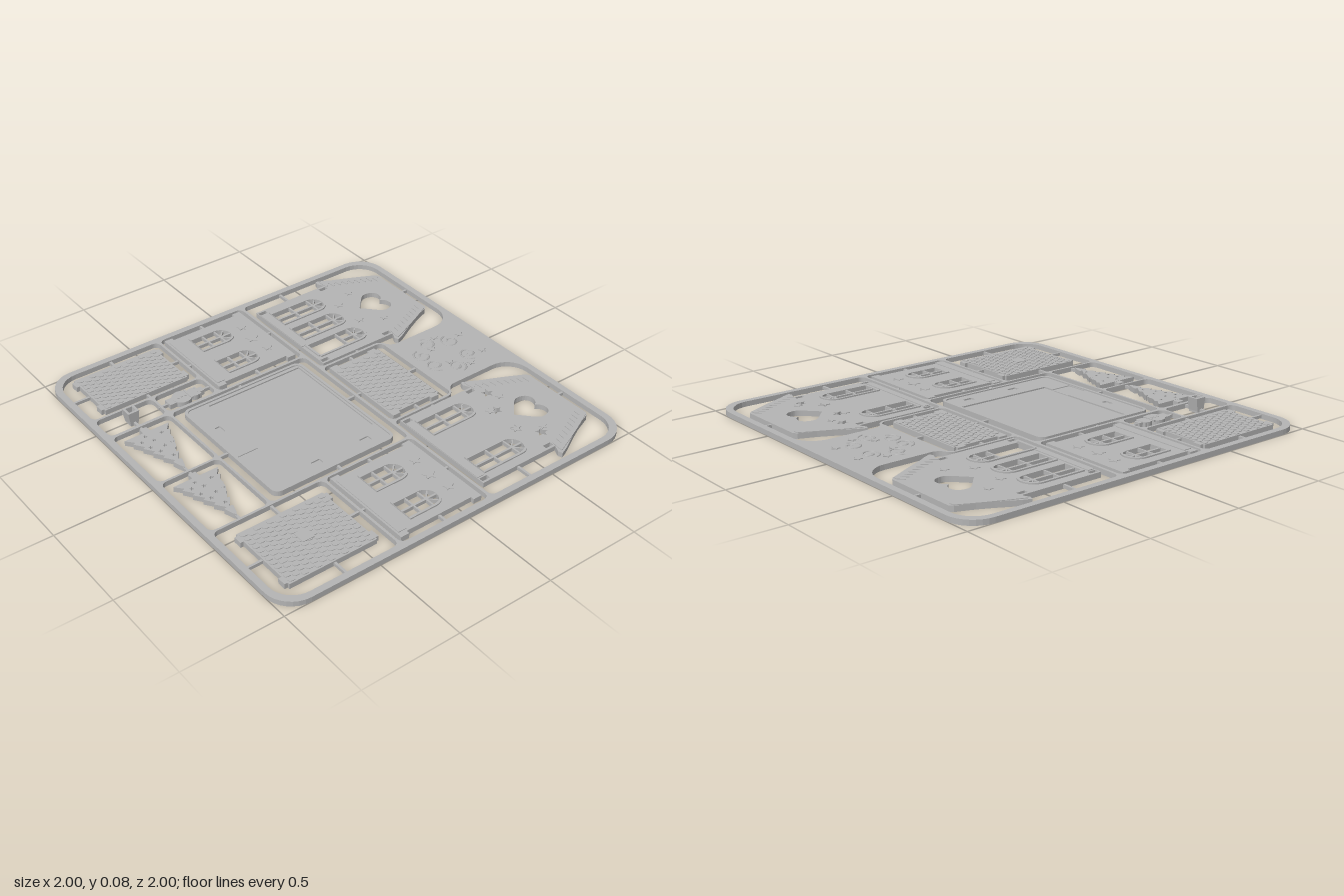
import * as THREE from 'three';
import { mergeGeometries } from 'three/addons/utils/BufferGeometryUtils.js';

const grey = new THREE.MeshStandardMaterial({ color: 0xb4b4b4 });
grey.name = 'grey plastic';
const TOP = 0.027, RELIEF = 0.0305;

// Plan shapes are drawn in (x, z) and extruded from y0 up to y1
function slab(shape, y0 = 0, y1 = TOP, segs = 8) {
  return new THREE.ExtrudeGeometry(shape, { depth: y1 - y0, bevelEnabled: false, curveSegments: segs })
    .rotateX(Math.PI / 2).translate(0, y1, 0);
}
function add(parent, name, geos) {
  const list = [].concat(geos).map(g => (g.index ? g.toNonIndexed() : g));
  const mesh = new THREE.Mesh(mergeGeometries(list), grey);
  mesh.name = name;
  parent.add(mesh);
}
const poly = pts => new THREE.Shape(pts.map(p => new THREE.Vector2(p[0], p[1])));
const rect = (x0, x1, z0, z1) => poly([[x0, z0], [x1, z0], [x1, z1], [x0, z1]]);
const box = (x0, x1, z0, z1, y0, y1) => slab(rect(x0, x1, z0, z1), y0, y1);

// Polygon with a rounding radius per corner: [x, z, r]
function rounded(pts) {
  const s = new THREE.Shape(), n = pts.length;
  pts.forEach(([x, z, r], i) => {
    const p = new THREE.Vector2(x, z);
    const toward = q => new THREE.Vector2(q[0] - x, q[1] - z).setLength(r).add(p);
    const a = toward(pts[(i + n - 1) % n]), b = toward(pts[(i + 1) % n]);
    if (i) s.lineTo(a.x, a.y); else s.moveTo(a.x, a.y);
    const k = 0.55;
    s.bezierCurveTo(a.x + (x - a.x) * k, a.y + (z - a.y) * k, b.x + (x - b.x) * k, b.y + (z - b.y) * k, b.x, b.y);
  });
  s.closePath();
  return s;
}
const rrect = (x0, x1, z0, z1, a = 0.03, b = a, c = a, d = a) =>
  rounded([[x0, z0, a], [x1, z0, b], [x1, z1, c], [x0, z1, d]]);
function arch(cx, z0, z1, hw) {
  const s = new THREE.Shape();
  s.moveTo(cx - hw, z1).lineTo(cx + hw, z1).lineTo(cx + hw, z0 + hw);
  s.absarc(cx, z0 + hw, hw, 0, Math.PI, true);
  s.closePath();
  return s;
}
function star(cx, cz, r, turn = 0) {
  return poly(Array.from({ length: 10 }, (_, i) => {
    const a = turn + i * Math.PI / 5 - Math.PI / 2, q = i % 2 ? r * 0.5 : r;
    return [cx + q * Math.cos(a), cz + q * Math.sin(a)];
  }));
}
function disc(cx, cz, r) {
  const s = new THREE.Shape();
  s.absarc(cx, cz, r, 0, Math.PI * 2);
  return s;
}
function heart(cx, top, bottom, w) {
  const s = new THREE.Shape(), h = bottom - top, d = top + h * 0.18;
  s.moveTo(cx, d);
  for (const [k, back] of [[1, false], [-1, true]]) {
    const mid = [cx + k * w, top + h * 0.36];
    if (!back) {
      s.bezierCurveTo(cx + 0.2 * w, top - h * 0.06, cx + w, top - h * 0.1, ...mid);
      s.bezierCurveTo(cx + w, top + h * 0.55, cx + w * 0.5, top + h * 0.7, cx, bottom);
    } else {
      s.bezierCurveTo(cx - w * 0.5, top + h * 0.7, cx - w, top + h * 0.55, ...mid);
      s.bezierCurveTo(cx - w, top - h * 0.1, cx - 0.2 * w, top - h * 0.06, cx, d);
    }
  }
  return s;
}
// Straight bar between two plan points
function bar(x0, z0, x1, z1, w, y0, y1) {
  const l = Math.hypot(x1 - x0, z1 - z0);
  return new THREE.BoxGeometry(l, y1 - y0, w).rotateY(-Math.atan2(z1 - z0, x1 - x0))
    .translate((x0 + x1) / 2, (y0 + y1) / 2, (z0 + z1) / 2);
}
// Arched window: raised surround, glazing bars and fan
function windowParts(cx, z0, z1, sill, door) {
  const hw = 0.058, c = z0 + hw, end = door ? sill : z1, b = [0.006, 0.024];
  const trim = arch(cx, z0 - 0.012, z1, hw + 0.012);
  trim.holes.push(arch(cx, z0, z1 - 0.001, hw));
  const out = [slab(trim, TOP - 0.002, 0.034), bar(cx, z0, cx, end, 0.011, ...b)];
  for (const z of [c, sill]) out.push(bar(cx - hw, z, cx + hw, z, 0.009, ...b));
  for (const k of [-1, 1]) out.push(bar(cx, c, cx + k * hw * 0.71, c - hw * 0.71, 0.007, ...b));
  if (door) out.push(box(cx - hw, cx + hw, z1 - 0.004, z1 + 0.008, 0.02, 0.034));
  return out;
}
// Staggered rows of round-ended shingles
function shingles(x0, x1, z0, z1, nx, nz) {
  const out = [], w = (x1 - x0) / nx, h = (z1 - z0) / nz;
  for (let j = 0; j < nz; j++) for (let i = 0; i < nx - (j % 2); i++) {
    const cx = x0 + w * (i + 0.5 + (j % 2) / 2), z = z0 + j * h;
    const s = new THREE.Shape();
    s.moveTo(cx - w * 0.42, z + h * 0.1).lineTo(cx + w * 0.42, z + h * 0.1).lineTo(cx + w * 0.42, z + h * 0.5);
    s.quadraticCurveTo(cx + w * 0.4, z + h * 0.92, cx, z + h * 0.92);
    s.quadraticCurveTo(cx - w * 0.4, z + h * 0.92, cx - w * 0.42, z + h * 0.5);
    out.push(slab(s, TOP - 0.001, RELIEF, 3));
  }
  return out;
}
// Panel with side tabs at both ends
const tabbed = (cx, hw, tw, z0, z1, gap, t) => poly([
  [-hw, z0], [hw, z0], [hw, z0 + gap], [tw, z0 + gap], [tw, z0 + gap + t], [hw, z0 + gap + t],
  [hw, z1 - t], [tw, z1 - t], [tw, z1], [-tw, z1], [-tw, z1 - t], [-hw, z1 - t],
  [-hw, z0 + gap + t], [-tw, z0 + gap + t], [-tw, z0 + gap], [-hw, z0 + gap]].map(([x, z]) => [x + cx, z]));

function house(root, name, cx, windows, door, stars) {
  const g = new THREE.Group();
  g.name = name;
  const half = [[0.195, -0.93], [0.212, -0.915], [0.245, -0.83], [0.28, -0.76], [0.335, -0.66], [0.352, -0.62], [0.33, -0.612], [0.292, -0.63], [0.292, -0.185]];
  const wall = poly([...half.map(([x, z]) => [cx + x, z]), ...half.slice().reverse().map(([x, z]) => [cx - x, z])]);
  wall.holes.push(heart(cx, -0.81, -0.645, 0.092));
  for (const k of [-1, 1]) for (const z of [-0.63, -0.235])
    wall.holes.push(rect(cx + k * 0.269 - 0.011, cx + k * 0.269 + 0.011, z, z + 0.045));
  const parts = [];
  for (const x of windows) {
    wall.holes.push(arch(cx + x, -0.525, -0.235, 0.058));
    parts.push(...windowParts(cx + x, -0.525, -0.235, -0.355));
  }
  if (door) {
    wall.holes.push(arch(cx + door, -0.525, -0.21, 0.058));
    parts.push(...windowParts(cx + door, -0.525, -0.21, -0.395, true));
  }
  for (const [x, z, t] of stars) wall.holes.push(star(x, z, 0.031, t));
  add(g, 'houseWall', slab(wall, 0, TOP, 12));
  add(g, 'houseWindows', parts);
  // Icicle trim along the roof slopes, plus star reliefs
  const trim = [];
  for (const k of [-1, 1]) {
    const outer = [], inner = [];
    for (let i = 0; i <= 18; i++) {
      const f = i / 18, x = 0.212 + 0.13 * f, z = -0.915 + 0.285 * f - 0.01 * Math.sin(f * Math.PI);
      outer.push([cx + k * (x - 0.006), z]);
      inner.push([cx + k * (x - (i % 2 ? 0.065 : 0.03)), z + (i % 2 ? 0.012 : 0)]);
    }
    trim.push(slab(poly([...outer, ...inner.reverse()]), TOP - 0.001, RELIEF));
    trim.push(slab(star(cx + k * 0.088, -0.575, 0.026), TOP - 0.001, RELIEF), slab(star(cx + k * 0.15, -0.69, 0.022), TOP - 0.001, RELIEF));
  }
  trim.push(box(cx - 0.25, cx + (door ? 0.11 : 0.25), -0.222, -0.187, TOP - 0.001, RELIEF));
  add(g, 'houseTrim', trim);
  root.add(g);
}

export function createModel() {
  const root = new THREE.Group();
  root.name = 'flatHouseKit';

  // Carrier frame with an opening for every part
  const frame = rrect(-1, 1, -1, 1, 0.14);
  for (const k of [-1, 1]) frame.holes.push(rounded([[k * 0.967, -0.967, 0.12], [k * 0.22, -0.967, 0.12], [k * 0.22, -0.56, 0.03], [k * 0.285, -0.525, 0.03], [k * 0.285, -0.157, 0.03], [k * 0.967, -0.157, 0.03]]));
  [[-0.272, 0.272, -0.53, -0.157], [-0.967, -0.422, -0.142, 0.36], [0.427, 0.967, -0.142, 0.36], [-0.408, 0.415, -0.142, 0.645],
    [-0.57, -0.425, 0.373, 0.645], [-0.57, -0.425, 0.657, 0.967], [-0.408, 0, 0.657, 0.967], [0.012, 0.415, 0.657, 0.967]]
    .forEach(h => frame.holes.push(rrect(...h)));
  frame.holes.push(rrect(-0.967, -0.582, 0.373, 0.967, 0.03, 0.03, 0.03, 0.12), rrect(0.427, 0.967, 0.373, 0.967, 0.03, 0.03, 0.12, 0.03));
  add(root, 'frame', slab(frame, 0, 0.026));

  // Thin gates joining the parts to the frame
  const gates = [[-0.595, -0.98, -0.595, -0.92], [0.59, -0.98, 0.59, -0.92], [-0.98, -0.397, -0.87, -0.397], [-0.31, -0.393, -0.28, -0.393],
    [0.28, -0.393, 0.31, -0.393], [0.87, -0.397, 0.98, -0.397], [0, -0.54, 0, -0.47], [0, -0.19, 0, -0.15], [-0.28, -0.33, -0.23, -0.33], [0.23, -0.33, 0.28, -0.33],
    [-0.7, -0.15, -0.7, -0.11], [-0.7, 0.33, -0.7, 0.37], [0.69, -0.15, 0.69, -0.11], [0.69, 0.33, 0.69, 0.37],
    [-0.98, 0.11, -0.92, 0.11], [-0.48, 0.11, -0.41, 0.11], [0.42, 0.11, 0.47, 0.11], [0.91, 0.11, 0.98, 0.11],
    [-0.42, 0.25, -0.37, 0.25], [0.37, 0.25, 0.42, 0.25], [0, -0.15, 0, -0.09], [0, 0.59, 0, 0.65],
    [-0.77, 0.36, -0.77, 0.42], [-0.77, 0.87, -0.77, 0.98], [-0.98, 0.648, -0.91, 0.648], [-0.63, 0.648, -0.57, 0.648],
    [0.69, 0.36, 0.69, 0.43], [0.69, 0.88, 0.69, 0.98], [0.42, 0.655, 0.5, 0.655], [0.88, 0.655, 0.98, 0.655],
    [-0.492, 0.36, -0.492, 0.42], [-0.492, 0.6, -0.492, 0.66], [-0.58, 0.812, -0.515, 0.812], [-0.47, 0.812, -0.38, 0.812],
    [-0.05, 0.812, 0.04, 0.812], [0.37, 0.812, 0.42, 0.812]];
  add(root, 'gates', gates.map(g => bar(...g, 0.012, 0.004, 0.02)));

  // Low scroll ornament on the solid area of the frame
  const scrolls = [];
  for (const k of [-1, 1]) for (const [x, z, s] of [[0.07, -0.82, 1], [0.12, -0.7, -1], [0.05, -0.62, 1]]) {
    const pts = Array.from({ length: 14 }, (_, i) => {
      const r = 0.05 * (1 - i / 18), a = i * 0.6 * s;
      return new THREE.Vector3(k * (x + r * Math.cos(a)), 0.026, z + r * Math.sin(a));
    });
    scrolls.push(new THREE.TubeGeometry(new THREE.CatmullRomCurve3(pts), 28, 0.005, 5));
    scrolls.push(slab(star(k * (x + 0.02), z - 0.075, 0.022), 0.025, RELIEF));
  }
  add(root, 'scrollOrnament', scrolls);

  // Gable walls
  house(root, 'frontHouseWall', -0.593, [-0.175, 0], 0.172, []);
  house(root, 'backHouseWall', 0.59, [-0.175, 0.175], 0, [[0.383, -0.663, 0.1], [0.512, -0.603, -0.1], [0.675, -0.58, 0.1], [0.768, -0.655, 0.2]]);

  // Side walls with two windows each
  for (const [name, cx] of [['leftSideWall', 0.69], ['rightSideWall', -0.7]]) {
    const wall = tabbed(cx, 0.232, 0.25, -0.12, 0.34, 0, 0.045), parts = [];
    for (const k of [-1, 1]) {
      wall.holes.push(arch(cx + k * 0.116, 0.03, 0.235, 0.058));
      parts.push(...windowParts(cx + k * 0.116, 0.03, 0.235, 0.16));
      parts.push(slab(star(cx + k * 0.116, -0.045, 0.028), TOP - 0.001, RELIEF));
    }
    parts.push(slab(star(cx, -0.03, 0.035), TOP - 0.001, RELIEF), box(cx - 0.22, cx + 0.22, 0.285, 0.33, TOP - 0.001, RELIEF));
    add(root, name, slab(wall, 0, TOP, 12));
    add(root, name + 'Windows', parts);
  }

  // Roof panels
  add(root, 'topRoof', [slab(tabbed(-0.002, 0.235, 0.25, -0.48, -0.185, 0.012, 0.045)), ...shingles(-0.23, 0.226, -0.475, -0.19, 13, 8)]);
  for (const [name, x0, x1, z0, z1] of [['rightRoof', -0.922, -0.617, 0.417, 0.88], ['leftRoof', 0.497, 0.885, 0.427, 0.89]]) {
    const parts = [box(x0, x1, z0, z1, 0, TOP), ...shingles(x0 + 0.005, x1 - 0.005, z0 + 0.005, z1 - 0.005, Math.round((x1 - x0) * 30), 13)];
    for (const x of [x0 + 0.012, x1 - 0.057]) for (const z of [z0 - 0.016, z1 - 0.002]) parts.push(box(x, x + 0.045, z, z + 0.018, 0, TOP));
    if (name === 'leftRoof') parts.push(box(0.65, 0.714, 0.63, 0.694, TOP - 0.001, 0.033));
    add(root, name, parts);
  }

  // Base plate with recessed house footprint, path and slots
  const outer = rrect(-0.388, 0.38, -0.095, 0.597, 0.04);
  const rim = rrect(-0.388, 0.38, -0.095, 0.597, 0.04);
  rim.holes.push(rrect(-0.374, 0.366, -0.081, 0.583, 0.03));
  const ground = rrect(-0.374, 0.366, -0.081, 0.583, 0.03);
  ground.holes.push(poly([[-0.355, -0.07], [0.235, -0.07], [0.235, 0.465], [0.175, 0.465], [0.175, 0.578], [0.055, 0.578], [0.055, 0.465], [-0.355, 0.465]]),
    rrect(0.292, 0.323, 0.005, 0.058, 0.005), rrect(0.292, 0.323, 0.288, 0.34, 0.005), rrect(-0.19, -0.14, 0.512, 0.542, 0.005));
  add(root, 'basePlate', [slab(outer, 0, 0.015), slab(ground, 0.014, 0.022), slab(rim, 0.014, 0.028), box(0.055, 0.175, 0.465, 0.578, 0.014, 0.018)]);

  // Snowman
  const sx = -0.492;
  add(root, 'snowman', [slab(disc(sx, 0.53, 0.049), 0, TOP, 16), slab(disc(sx, 0.462, 0.034), 0, 0.0265, 16), box(sx - 0.017, sx + 0.017, 0.41, 0.45, 0, 0.026),
    box(sx - 0.032, sx + 0.032, 0.436, 0.446, 0, 0.0275), box(sx - 0.025, sx + 0.025, 0.56, 0.61, 0, 0.0255), box(sx - 0.037, sx + 0.037, 0.487, 0.498, 0.02, RELIEF),
    ...[0.51, 0.53, 0.55].map(z => slab(disc(sx, z, 0.006), 0.02, RELIEF, 5))]);

  // Chimney: hollow, flared towards the top
  const ring = rect(-0.523, -0.463, 0.782, 0.842);
  ring.holes.push(rect(-0.511, -0.475, 0.794, 0.83));
  const flue = slab(ring, 0.01, 0.075), p = flue.attributes.position;
  for (let i = 0; i < p.count; i++) if (p.getY(i) < 0.04) p.setZ(i, 0.812 + (p.getZ(i) - 0.812) * 0.7);
  flue.computeVertexNormals();
  add(root, 'chimney', [flue, box(-0.522, -0.464, 0.792, 0.832, 0, 0.025)]);

  // Fir trees lying on their sides
  for (const [name, x0, len] of [['rightTree', -0.355, 0.33], ['leftTree', 0.065, 0.325]]) {
    const edge = [];
    for (let i = 0; i < 6; i++) {
      const w = 0.12 * (1 - i / 6.2);
      edge.push([x0 + len * i / 6 + (i ? -0.008 : 0), w], [x0 + len * (i + 0.75) / 6, Math.max(w - 0.034, 0.008)]);
    }
    const tree = poly([...edge.map(([x, w]) => [x, 0.812 - w]), [x0 + len, 0.812], ...edge.reverse().map(([x, w]) => [x, 0.812 + w])]);
    for (const [dx, dz] of [[0.045, -0.055], [0.075, 0.005], [0.03, 0.025], [0.06, 0.06], [0.135, -0.058], [0.14, -0.015], [0.165, 0.025], [0.225, -0.008], [0.115, 0.048]])
      tree.holes.push(star(x0 + dx, 0.812 + dz, 0.012));
    add(root, name, [slab(tree), box(x0 - 0.035, x0 + 0.002, 0.793, 0.831, 0, 0.026)]);
  }
  return root;
}
